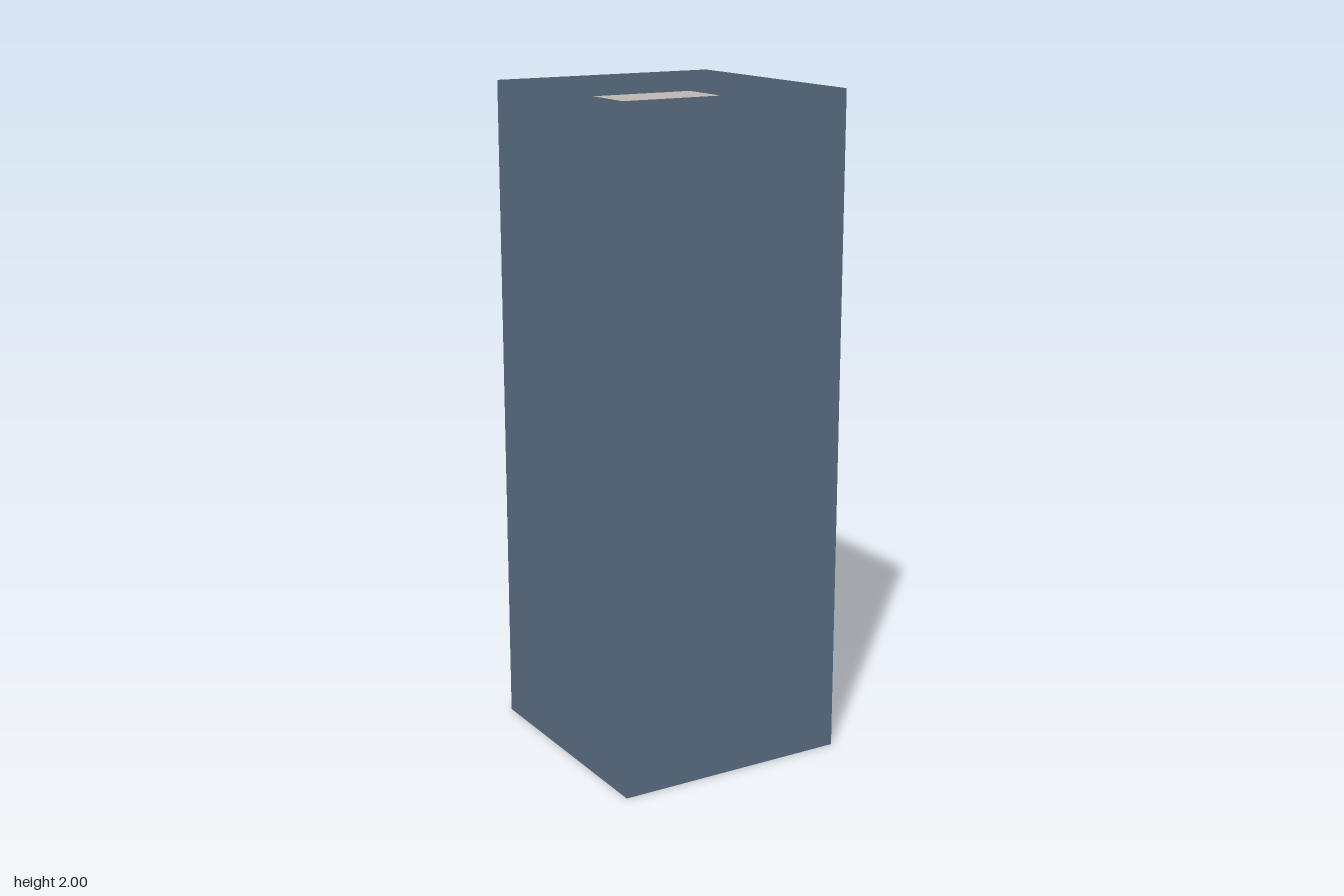
import * as THREE from 'three';

const WIDTH = 0.725, DEPTH = 0.746, HEIGHT = 2;
const ROOF_Y = 1.908;

export function createModel() {
  const model = new THREE.Group();
  model.name = 'towerBlock';

  const wallBlue = new THREE.MeshStandardMaterial({ color: 0x5c7187, side: THREE.DoubleSide });
  wallBlue.name = 'wallBlue';
  const roofBeige = new THREE.MeshStandardMaterial({ color: 0xc2b9b2, side: THREE.DoubleSide });
  roofBeige.name = 'roofBeige';

  // Four thin walls, open below and rising above the roof as a parapet
  ['frontWall', 'leftWall', 'backWall', 'rightWall'].forEach((name, i) => {
    const angle = i * Math.PI / 2;
    const [span, offset] = i % 2 ? [DEPTH, WIDTH / 2] : [WIDTH, DEPTH / 2];
    const wall = new THREE.Mesh(new THREE.PlaneGeometry(span, HEIGHT), wallBlue);
    wall.name = name;
    wall.rotation.y = angle;
    wall.position.set(Math.sin(angle) * offset, HEIGHT / 2, Math.cos(angle) * offset);
    model.add(wall);
  });

  // Flat roof sunk below the parapet
  const roof = new THREE.Mesh(new THREE.PlaneGeometry(WIDTH, DEPTH), roofBeige);
  roof.name = 'roof';
  roof.rotation.x = -Math.PI / 2;
  roof.position.y = ROOF_Y;
  model.add(roof);

  // Low rooftop housing: beige top, front and left; blue right and back
  const housing = new THREE.Mesh(
    new THREE.BoxGeometry(0.408, 0.046, 0.42),
    [roofBeige, wallBlue, roofBeige, roofBeige, roofBeige, wallBlue]
  );
  housing.name = 'rooftopHousing';
  housing.position.set(0, ROOF_Y + 0.023, -0.001);
  model.add(housing);

  return model;
}
